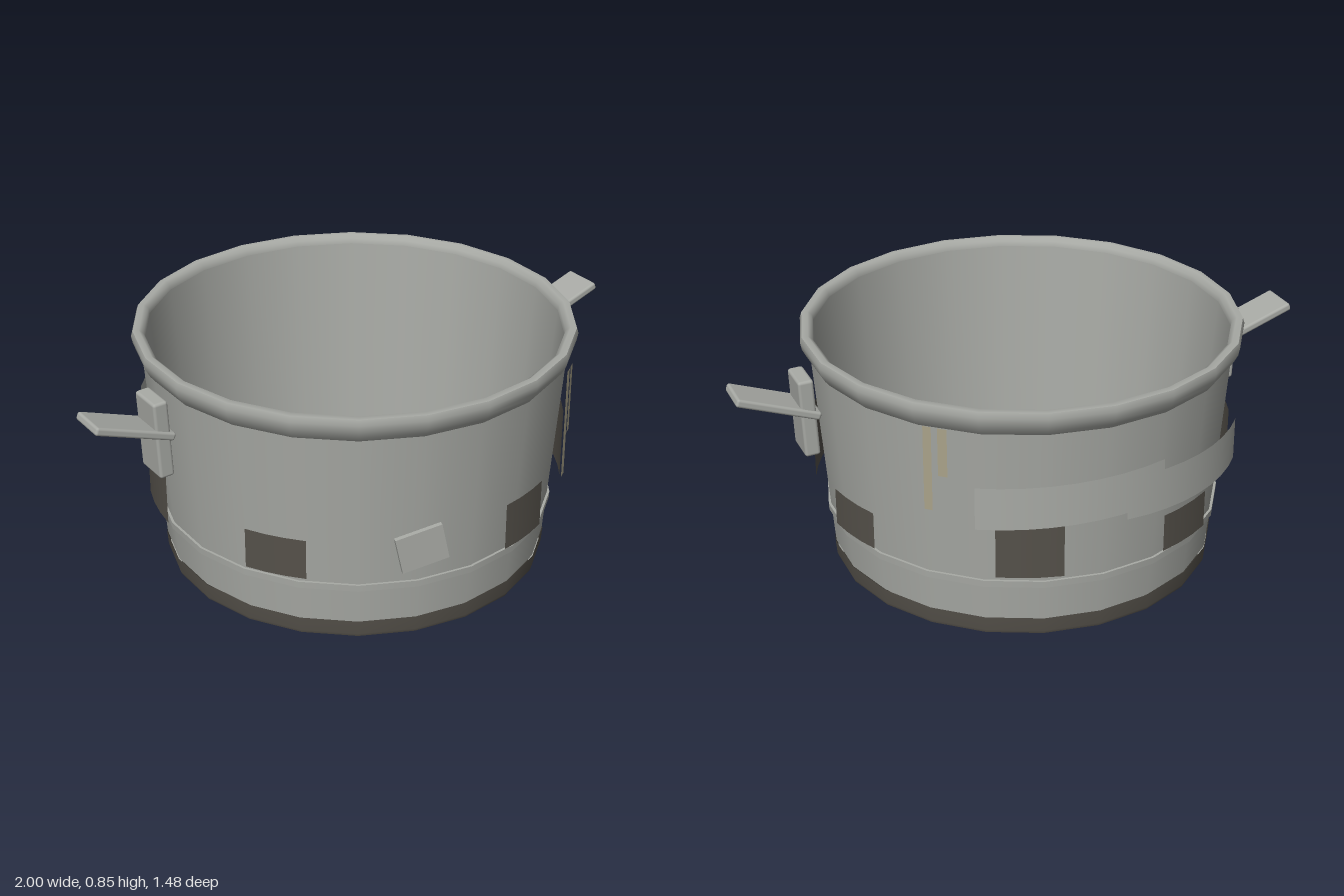
import * as THREE from 'three';
import { RoundedBoxGeometry } from 'three/addons/geometries/RoundedBoxGeometry.js';

const SIDES = 22;
const rad = THREE.MathUtils.degToRad;
const paint = (color) => new THREE.MeshStandardMaterial({ color, side: THREE.DoubleSide });

export function createModel() {
  const model = new THREE.Group();
  const metal = paint(0xa8aaa5);
  const grime = paint(0x55514a);
  const soot = paint(0x3a3832);
  const drip = paint(0xaaa38a);

  const add = (name, geometry, material, parent = model) => {
    const mesh = new THREE.Mesh(geometry, material);
    mesh.name = name;
    parent.add(mesh);
    return mesh;
  };

  // Full turned surface from [radius, height] pairs
  const turned = (name, points, material) =>
    add(name, new THREE.LatheGeometry(points.map(([r, y]) => new THREE.Vector2(r, y)), SIDES), material);

  // Thin curved panel; angles in degrees from the front towards +x, rise lifts its far end
  const panel = (name, r, from, to, y0, y1, material, rise = 0) => {
    const start = rad(from), span = rad(to - from);
    const segments = Math.max(1, Math.round((to - from) / 6));
    const points = [new THREE.Vector2(r, y0), new THREE.Vector2(r, y1)];
    const geometry = new THREE.LatheGeometry(points, segments, start, span);
    const p = geometry.attributes.position;
    for (let i = 0; i < p.count; i++) {
      const angle = (Math.atan2(p.getX(i), p.getZ(i)) + 2 * Math.PI) % (2 * Math.PI);
      p.setY(i, p.getY(i) + rise * (angle - start) / span);
    }
    return add(name, geometry, material);
  };

  // Pot body, one run per sharp edge
  turned('underside', [[0, 0], [0.3, 0.002], [0.56, 0.008], [0.64, 0.014]], soot);
  turned('bottomLip', [[0.635, 0.014], [0.652, 0.014]], metal);
  turned('baseBand', [[0.652, 0.014], [0.656, 0.025], [0.66, 0.075]], grime);
  turned('outerWall', [[0.657, 0.075], [0.71, 0.765]], metal);
  turned('rim', [[0.708, 0.76], [0.724, 0.78], [0.737, 0.805], [0.742, 0.83], [0.736, 0.848]], metal);
  turned('rimTop', [[0.736, 0.848], [0.715, 0.85], [0.7, 0.838], [0.697, 0.82]], metal);
  turned('innerWall', [[0.697, 0.82], [0.63, 0.05]], metal);
  turned('floor', [[0.632, 0.05], [0, 0.05]], grime);

  // Raised ring low on the wall
  turned('ringBottom', [[0.664, 0.2], [0.676, 0.2]], metal);
  turned('ringSide', [[0.676, 0.2], [0.677, 0.223]], metal);
  turned('ringTop', [[0.677, 0.223], [0.666, 0.223]], metal);

  // Dark patches around the wall: [centre angle, width, top]
  [
    [17.5, 16.2, 0.425], [62, 17.4, 0.51], [107, 17.2, 0.39], [159.5, 17.5, 0.46],
    [206, 17.6, 0.39], [257, 18, 0.49], [305.5, 16.8, 0.4],
  ].forEach(([a, w, top]) => panel('darkPatch', 0.71, a - w / 2, a + w / 2, 0.26, top, grime));

  // Two overlapping repair strips at the back
  panel('repairStripLeft', 0.731, 146, 195, 0.44, 0.585, metal, 0.028);
  panel('repairStripRight', 0.734, 184, 232, 0.44, 0.585, metal, -0.026);

  // Drips hanging from the rim: [from, to, bottom]
  [
    [34.3, 36.7, 0.39], [37.6, 40.1, 0.535], [133.3, 135.5, 0.49], [137.1, 139.5, 0.615],
  ].forEach(([from, to, bottom]) => panel('drip', 0.737, from, to, bottom, 0.778, drip));

  // Small crooked plate on the front
  const plateAngle = rad(-16.3);
  const plate = add('crookedPlate', new THREE.BoxGeometry(0.158, 0.128, 0.016), metal);
  plate.position.set(0.702 * Math.sin(plateAngle), 0.36, 0.702 * Math.cos(plateAngle));
  plate.rotation.set(0, plateAngle, rad(12));

  // Handles: bracket and upward-sloping grip on each side
  for (const side of [1, -1]) {
    const handle = new THREE.Group();
    handle.name = side > 0 ? 'leftHandle' : 'rightHandle';
    handle.rotation.y = side > 0 ? 0 : Math.PI;
    model.add(handle);
    const bracket = add('bracket', new RoundedBoxGeometry(0.052, 0.27, 0.126, 2, 0.01), metal, handle);
    bracket.position.set(0.763, 0.636, 0);
    bracket.rotation.z = rad(-2.5);
    const grip = add('grip', new RoundedBoxGeometry(0.29, 0.028, 0.14, 2, 0.009), metal, handle);
    grip.position.set(0.861, 0.69, 0);
    grip.rotation.z = rad(20);
  }
  return model;
}
